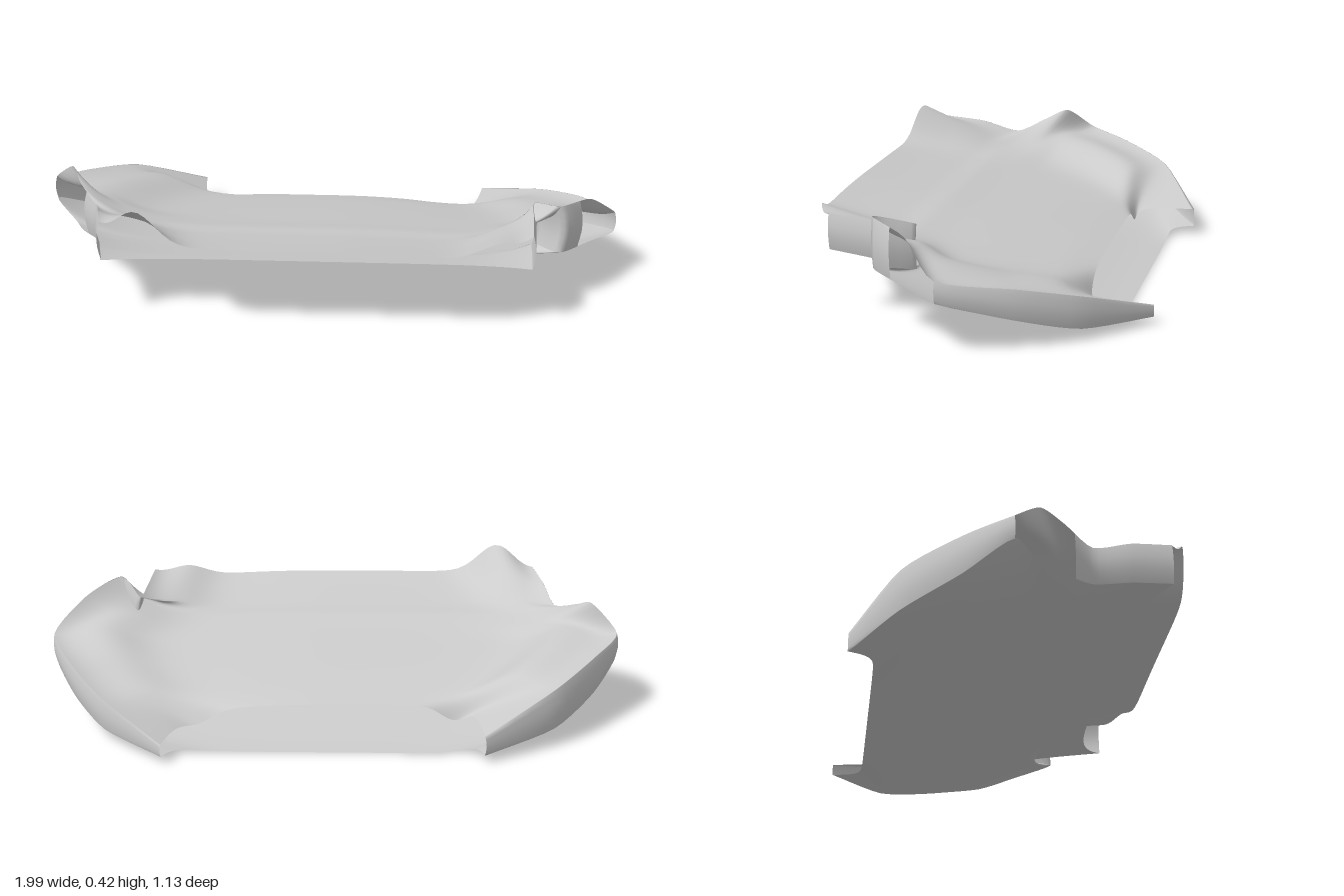
import * as THREE from 'three';
import { mergeGeometries, mergeVertices } from 'three/addons/utils/BufferGeometryUtils.js';

// Garment lying flat: rows run from neck (back) to hem (front).
// mid: upper panel centre z, y, then lower panel centre z, y
// neg / pos: edge at -x / +x as x, z, upper y, lower y, height of the fold beside it
const ROWS = [
  { mid: [-0.34, 0.125, -0.465, 0.005], neg: [-0.51, -0.55, 0.10, 0.035, -0.05], pos: [0.55, -0.57, 0.07, 0.03, -0.04] },
  { mid: [-0.24, 0.15, -0.36, 0.02], neg: [-0.75, -0.40, 0.21, 0.07, 0.05], pos: [0.76, -0.38, 0.15, 0.045, 0.02] },
  { mid: [-0.10, 0.18, -0.20, 0.05], neg: [-0.90, -0.22, 0.26, 0.13, 0.06], pos: [0.89, -0.20, 0.20, 0.10, 0.03] },
  { mid: [0.05, 0.21, -0.03, 0.085], neg: [-0.99, -0.07, 0.29, 0.21, 0.05], pos: [0.99, 0.03, 0.24, 0.17, 0.06] },
  { mid: [0.15, 0.23, 0.08, 0.11], neg: [-0.91, 0.02, 0.37, 0.16, 0], pos: [0.89, 0.15, 0.34, 0.18, 0.04] },
  { mid: [0.24, 0.25, 0.16, 0.13], neg: [-0.87, 0.10, 0.34, 0.16, 0], pos: [0.78, 0.29, 0.37, 0.20, 0] },
  { mid: [0.32, 0.26, 0.22, 0.145], neg: [-0.80, 0.20, 0.30, 0.17, 0.02], pos: [0.70, 0.17, 0.33, 0.18, 0.02] },
  { mid: [0.45, 0.285, 0.30, 0.165], neg: [-0.77, 0.33, 0.34, 0.20, 0.06], pos: [0.69, 0.30, 0.33, 0.20, 0.03] },
  { mid: [0.565, 0.31, 0.36, 0.18], neg: [-0.74, 0.47, 0.36, 0.22, 0.11], pos: [0.68, 0.47, 0.34, 0.22, 0.04] },
];
const ACROSS = 60;
const STEP = 5; // subdivisions between rows

// Point of one row at s = -1 (edge at -x) .. 1 (edge at +x)
function rowPoint(i, s, upper) {
  const { mid, neg, pos } = ROWS[i];
  const e = s < 0 ? neg : pos;
  const a = Math.abs(s);
  const sharpness = i > 0 ? 6 : s < 0 ? 36 : 16; // the neck corners turn sharply
  const z0 = upper ? mid[0] : mid[2];
  const y0 = upper ? mid[1] : mid[3];
  let y = THREE.MathUtils.lerp(y0, upper ? e[2] : e[3], a ** 6);
  if (upper) {
    y += e[4] * Math.exp(-(((a - 0.83) / 0.13) ** 2)) * (1 - a ** 12); // fold
    if (s > 0) y -= 0.04 * a * a * (1 - a ** 6); // cloth sags toward +x
  }
  return new THREE.Vector3(a * e[0], y, THREE.MathUtils.lerp(z0, e[1], a ** sharpness));
}

// Smooth line from neck to hem at a fixed s
function lengthwise(s, upper) {
  const curve = new THREE.CatmullRomCurve3(ROWS.map((_, i) => rowPoint(i, s, upper)), false, 'catmullrom', 0.35);
  return curve.getPoints((ROWS.length - 1) * STEP);
}

// Surface through a list of equally long point lines
function sheet(lines) {
  const n = lines[0].length;
  const index = [];
  for (let i = 0; i < lines.length - 1; i++) {
    for (let j = 0; j < n - 1; j++) {
      const a = i * n + j;
      index.push(a, a + 1, a + n, a + 1, a + n + 1, a + n);
    }
  }
  const geometry = new THREE.BufferGeometry().setFromPoints(lines.flat());
  geometry.setIndex(index);
  return geometry;
}

// Upper or lower cloth panel, with columns crowded toward the rounded edges
function panel(upper) {
  const lines = [];
  for (let i = 0; i <= ACROSS; i++) {
    const s = Math.sin((i / ACROSS - 0.5) * Math.PI) * (upper ? 1 : -1);
    lines.push(lengthwise(s, upper));
  }
  return sheet(lines);
}

// Strip closing the edge between the panels, bulging slightly outward
function sideStrip(side, from, to) {
  const cut = (upper) => lengthwise(side, upper).slice(Math.round(from * STEP), to * STEP + 1);
  const top = cut(true);
  const bottom = cut(false);
  const lines = [];
  for (let k = 0; k <= 6; k++) {
    const t = k / 6;
    lines.push(top.map((p, j) => {
      const q = p.clone().lerp(bottom[j], t);
      q.x += side * 0.08 * (p.y - bottom[j].y) * Math.sin(t * Math.PI);
      return q;
    }));
  }
  if (side < 0) lines.reverse();
  return sheet(lines);
}

export function createModel() {
  // Panels plus shoulder and side strips; the gaps between strips are the armholes
  const parts = [
    panel(true),
    panel(false),
    sideStrip(1, 0, 3),
    sideStrip(1, 4.4, 8),
    sideStrip(-1, 0, 3),
    sideStrip(-1, 5.4, 8),
  ];
  // Weld the seams so the cloth shades as one smooth shell
  const geometry = mergeVertices(mergeGeometries(parts), 1e-4);
  geometry.computeVertexNormals();
  const material = new THREE.MeshStandardMaterial({ color: 0xcccccc, side: THREE.DoubleSide });
  const shell = new THREE.Mesh(geometry, material);
  shell.name = 'garmentShell';

  const group = new THREE.Group();
  group.name = 'flatGarment';
  group.add(shell);
  return group;
}
